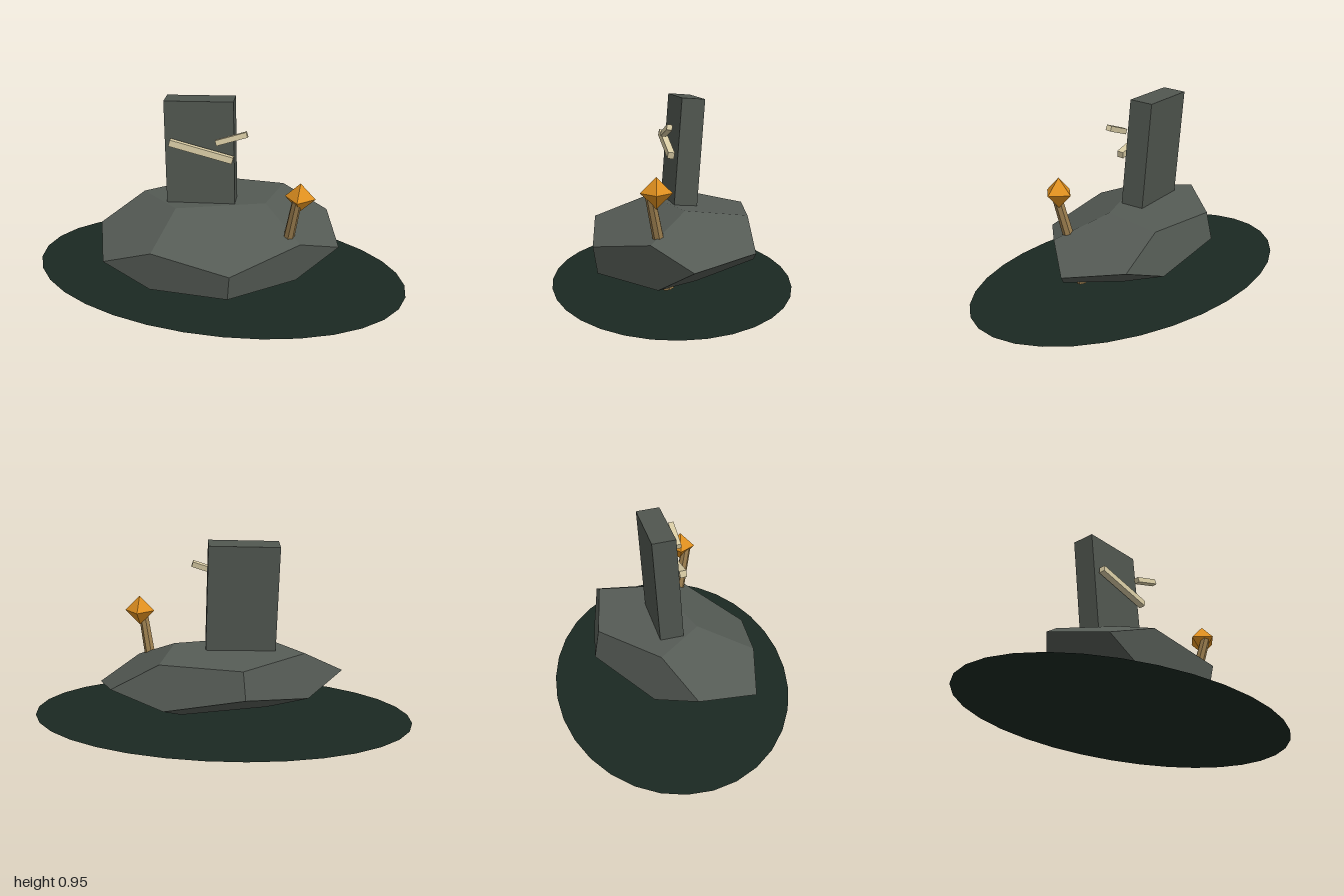
import * as THREE from 'three';

const mat = (color, extra = {}) =>
  new THREE.MeshStandardMaterial({ color, flatShading: true, ...extra });

// Stretches a part that was built along +y between two points
function between(mesh, a, b) {
  const dir = b.clone().sub(a).normalize();
  mesh.position.copy(a).add(b).multiplyScalar(0.5);
  mesh.quaternion.setFromUnitVectors(new THREE.Vector3(0, 1, 0), dir);
  return mesh;
}

export function createModel() {
  const group = new THREE.Group();
  const V = (x, y, z) => new THREE.Vector3(x, y, z);
  const add = (name, mesh) => {
    mesh.name = name;
    group.add(mesh);
    return mesh;
  };

  // Flat oval ground patch
  const patch = new THREE.CircleGeometry(1, 32).rotateX(-Math.PI / 2).scale(1, 1, 0.62);
  add('groundPatch', new THREE.Mesh(patch, mat(0x1b2922, { side: THREE.DoubleSide })));

  // Boulder: a dodecahedron turned and squashed by a skewed basis
  const rock = new THREE.DodecahedronGeometry(Math.sqrt(3));
  rock.applyMatrix4(new THREE.Matrix4().makeBasis(
    V(0.1, -0.05, 0.242), V(0.35, 0.002, -0.146), V(0.012, 0.115, 0.018)));
  add('boulder', new THREE.Mesh(rock, mat(0x555b55))).position.y = 0.22;

  // Leaning stone slab
  const slab = add('standingSlab', new THREE.Mesh(new THREE.BoxGeometry(0.357, 0.72, 0.12), mat(0x50564f)));
  slab.position.set(-0.11, 0.585, -0.057);
  slab.rotation.set(-0.08, 0.16, 0.04);

  // Two square sticks across the slab face
  const stickMat = mat(0xd8cba4);
  [
    ['longStick', V(-0.25, 0.737, 0.042), V(0.075, 0.66, 0.003), 0.034],
    ['shortStick', V(-0.003, 0.762, 0.04), V(0.152, 0.815, 0.013), 0.028],
  ].forEach(([name, a, b, t]) => {
    const stick = new THREE.BoxGeometry(t, a.distanceTo(b), t);
    add(name, between(new THREE.Mesh(stick, stickMat), a, b));
  });

  // Torch: tapered handle through the boulder, with a faceted flame
  const foot = V(0.345, 0.045, 0.028), tip = V(0.437, 0.53, 0.117);
  const handle = new THREE.CylinderGeometry(0.025, 0.032, foot.distanceTo(tip), 7);
  add('torchHandle', between(new THREE.Mesh(handle, mat(0x9a7d4e)), foot, tip));
  add('torchFlame', new THREE.Mesh(new THREE.OctahedronGeometry(0.078), mat(0xe0901f)))
    .position.set(0.447, 0.538, 0.086);

  return group;
}
